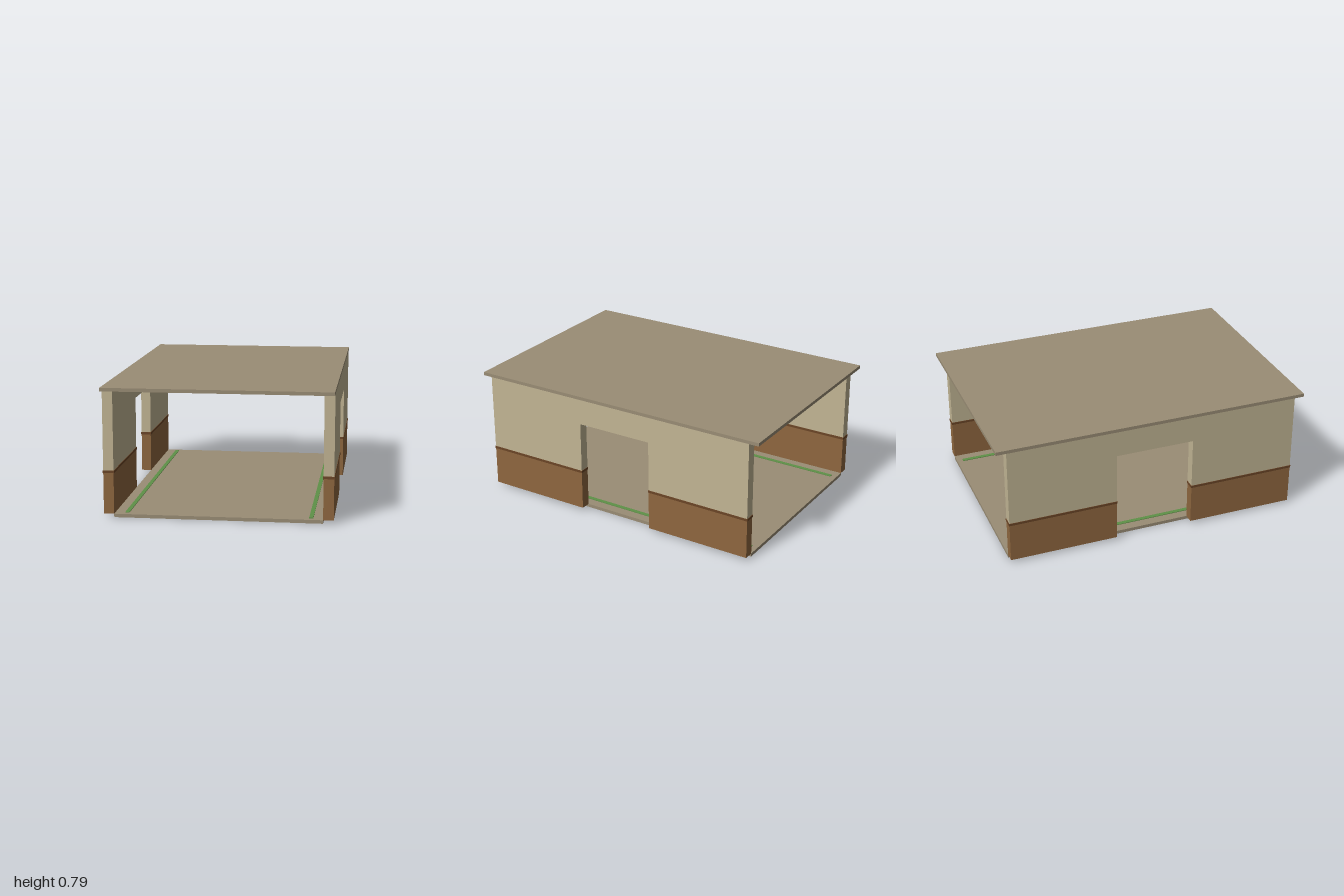
import * as THREE from 'three';

const mat = (name, color) => {
  const m = new THREE.MeshStandardMaterial({ color });
  m.name = name;
  return m;
};

export function createModel() {
  const stone = mat('taupe stone', 0x9a8d75);
  const plaster = mat('cream plaster', 0xc2b594);
  const wood = mat('brown panelling', 0x8f673f);
  const darkWood = mat('dark brown trim', 0x6b4526);
  const green = mat('green strip', 0x5f9148);
  const metal = mat('dark metal', 0x363a40);
  const lens = mat('lamp lens', 0xa39c86);

  const model = new THREE.Group();
  model.name = 'openHall';

  // Box given by its base height
  const box = (parent, name, material, w, h, d, x, y, z) => {
    const mesh = new THREE.Mesh(new THREE.BoxGeometry(w, h, d), material);
    mesh.name = name;
    mesh.position.set(x, y + h / 2, z);
    parent.add(mesh);
    return mesh;
  };

  const wallX = 0.656, wallT = 0.0625, wallEnd = 0.9375, doorHalf = 0.25;
  const floorTop = 0.021, trimY = 0.27, trimH = 0.015, doorTop = 0.608, roofY = 0.772;

  box(model, 'floor', stone, 1.25, floorTop, 2 * wallEnd, 0, 0, 0);
  box(model, 'roof', stone, 1.375, 0.021, 2, 0, roofY, 0);

  // Upper wall outline with the doorway cut out, drawn in z and y
  const outline = new THREE.Shape([
    [-wallEnd, trimY], [-doorHalf, trimY], [-doorHalf, doorTop], [doorHalf, doorTop],
    [doorHalf, trimY], [wallEnd, trimY], [wallEnd, roofY], [-wallEnd, roofY],
  ].map(([z, y]) => new THREE.Vector2(z, y)));
  const upperGeo = new THREE.ExtrudeGeometry(outline, { depth: wallT, bevelEnabled: false });
  upperGeo.translate(0, 0, -wallT / 2).rotateY(Math.PI / 2);

  for (const side of [-1, 1]) {
    const wall = new THREE.Group();
    wall.name = side > 0 ? 'leftWall' : 'rightWall';
    wall.position.x = side * wallX;
    model.add(wall);

    const upper = new THREE.Mesh(upperGeo, plaster);
    upper.name = 'upperWall';
    wall.add(upper);

    // Panelling and rail on each side of the doorway
    const len = wallEnd - doorHalf;
    for (const end of [-1, 1]) {
      const z = end * (wallEnd + doorHalf) / 2;
      box(wall, 'lowerPanel', wood, wallT, trimY - floorTop, len, 0, floorTop, z);
      box(wall, 'trimRail', darkWood, wallT + 0.006, trimH, len + 0.006, 0, trimY, z);
    }

    // Low strip along the floor edge
    box(model, 'floorStrip', green, 0.025, 0.004, 1.8, side * 0.5525, floorTop, 0);

    // Ceiling lamps
    for (const z of [-0.625, 0, 0.625]) {
      const lamp = new THREE.Group();
      lamp.name = 'ceilingLamp';
      lamp.position.set(side * 0.3125, 0, z);
      model.add(lamp);
      box(lamp, 'lampFrame', metal, 0.206, 0.01, 0.206, 0, 0.762, 0);
      box(lamp, 'lampLip', metal, 0.18, 0.004, 0.18, 0, 0.758, 0);
      box(lamp, 'lampLens', lens, 0.172, 0.001, 0.172, 0, 0.757, 0);
    }
  }
  return model;
}
